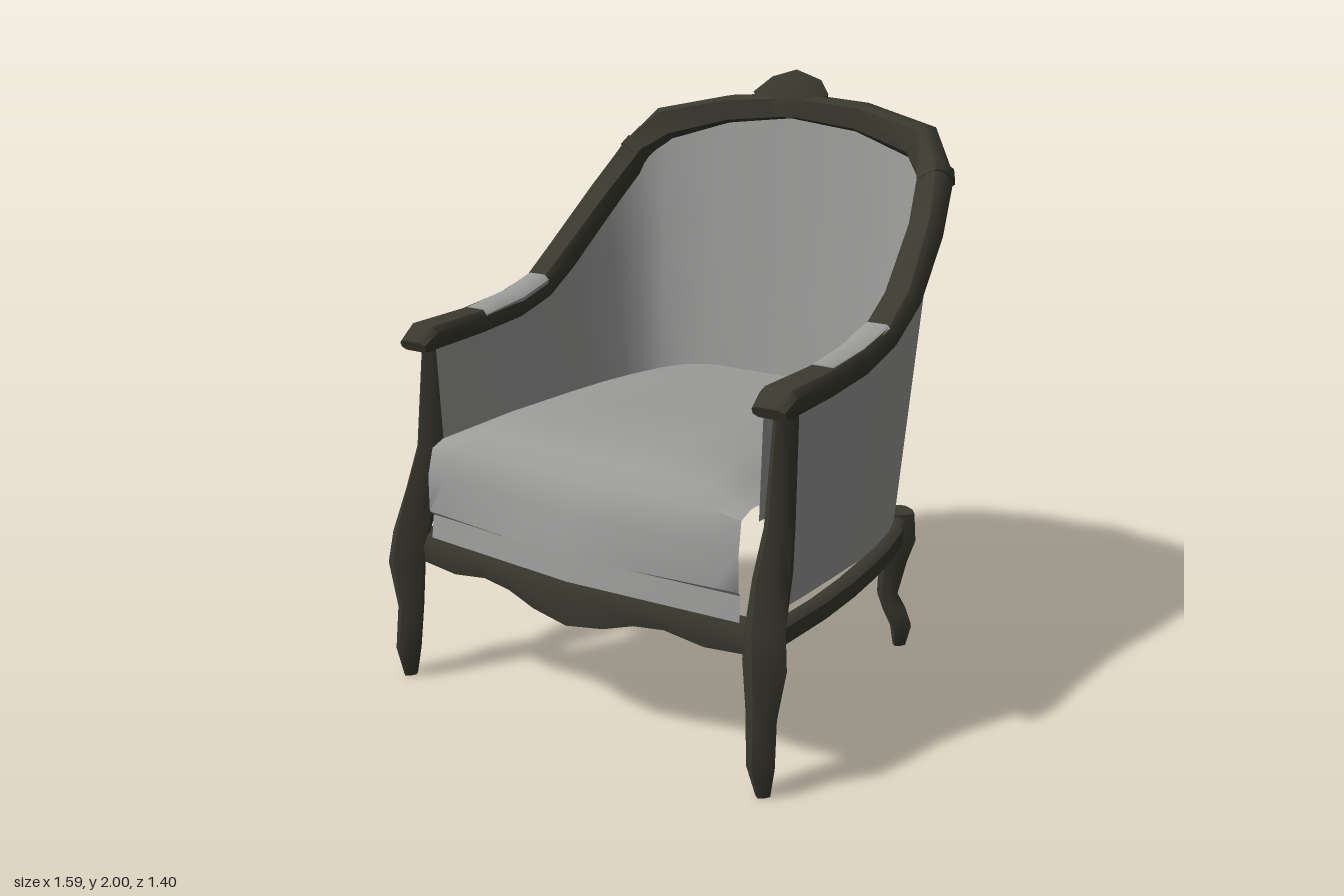
import * as THREE from 'three';
import { toCreasedNormals } from 'three/addons/utils/BufferGeometryUtils.js';

const V = (x, y, z) => new THREE.Vector3(x, y, z);
const flip = p => V(-p.x, p.y, p.z);

// Skin a list of rings; closed rings get end caps, and faces are turned outward.
function loft(rings, { closed = true, crease = 0.8 } = {}) {
  const n = rings[0].length, pts = rings.flat(), tris = [];
  for (let i = 0; i < rings.length - 1; i++) {
    for (let j = 0; j < (closed ? n : n - 1); j++) {
      const k = (j + 1) % n, a = i * n + j, b = i * n + k;
      tris.push([a, b, b + n], [a, b + n, a + n]);
    }
  }
  if (closed) {
    [0, rings.length - 1].forEach((r, end) => {
      const c = pts.length;
      pts.push(rings[r].reduce((s, p) => s.add(p), V(0, 0, 0)).divideScalar(n));
      for (let j = 0; j < n; j++) {
        const a = r * n + j, b = r * n + (j + 1) % n;
        tris.push(end ? [a, b, c] : [b, a, c]);
      }
    });
    let volume = 0;
    const t = V(0, 0, 0);
    for (const [a, b, c] of tris) volume += pts[a].dot(t.crossVectors(pts[b], pts[c]));
    if (volume < 0) tris.forEach(f => f.reverse());
  }
  const g = new THREE.BufferGeometry().setFromPoints(pts);
  g.setIndex(tris.flat());
  return toCreasedNormals(g, crease);
}

// Chamfered rectangular rings along a path; each station is {p, a, ha, hb}.
const SECTION = [[1, .5], [.7, 1], [-.7, 1], [-1, .5], [-1, -.5], [-.7, -1], [.7, -1], [1, -.5]];
function sweepRings(stations, endTangent) {
  return stations.map((s, i) => {
    const last = i === stations.length - 1;
    const tan = last && endTangent ? endTangent.clone()
      : V(0, 0, 0).subVectors(stations[last ? i : i + 1].p, stations[Math.max(0, i - 1)].p);
    const b = tan.cross(s.a).normalize();
    const a = s.a.clone().normalize();
    return SECTION.map(([u, v]) => s.p.clone().addScaledVector(a, u * s.ha).addScaledVector(b, v * s.hb));
  });
}
// Continue a half list across the middle.
const mirrored = rings => [...rings, ...rings.slice(0, -1).reverse().map(r => r.map(flip))];

export function createModel() {
  const group = new THREE.Group();
  const wood = new THREE.MeshStandardMaterial({ color: 0x3a392f });
  wood.name = 'dark wood';
  const fabric = new THREE.MeshStandardMaterial({ color: 0x9b9b9a, side: THREE.DoubleSide });
  fabric.name = 'grey upholstery';
  const add = (name, geometry, material) => {
    const m = new THREE.Mesh(geometry, material);
    m.name = name;
    group.add(m);
  };

  // Arm and back rail: x, y, z, outward x, outward y, half width, half thickness
  const rail = [
    [.69, 1.15, .588, 1, 0, .055, .018],
    [.69, 1.172, .535, 1, 0, .063, .042],
    [.69, 1.183, .3, 1, 0, .058, .04],
    [.69, 1.207, .1, 1, 0, .055, .042],
    [.69, 1.25, -.05, 1, 0, .055, .04],
    [.69, 1.345, -.19, 1, .05, .055, .045],
    [.66, 1.53, -.39, 1, .25, .053, .048],
    [.615, 1.685, -.535, .9, .45, .052, .05],
    [.525, 1.785, -.605, .5, .85, .062, .048],
    [.27, 1.848, -.653, .15, 1, .05, .046],
    [0, 1.872, -.657, 0, 1, .045, .046],
  ].map(([x, y, z, ax, ay, ha, hb]) => ({ p: V(x, y, z), a: V(ax, ay, 0), ha, hb }));
  add('armAndBackRail', loft(mirrored(sweepRings(rail, V(-1, 0, 0)))), wood);

  // Carved crest on the top rail: z, scale, drop
  const crest = [[-.18, 1.915], [-.1, 1.972], [0, 2], [.1, 1.968], [.13, 1.92], [0, 1.87]];
  add('crest', loft([[-.7, .75, -.04], [-.655, 1, 0], [-.61, .6, -.05]].map(([z, s, dy]) =>
    crest.map(([x, y]) => V(x * s, 1.9 + (y - 1.9) * s + dy, z)))), wood);

  // Plan of the shell, one point under each rail station after the first
  const outerPlan = [[.65, .5], [.65, .3], [.645, .1], [.64, -.05], [.625, -.18], [.59, -.34],
    [.55, -.45], [.48, -.55], [.27, -.625], [0, -.65]];
  const innerPlan = [[.625, .53], [.615, .3], [.61, .1], [.6, -.08], [.578, -.22], [.537, -.37],
    [.505, -.42], [.465, -.475], [.34, -.525], [0, -.53]];
  const shell = (plan, y, dx, dy, dz) => loft(mirrored(plan.map(([x, z], i) => {
    const t = i / (plan.length - 1), { p } = rail[i + 1];
    const top = V(p.x + dx * (1 - t), p.y + dy, p.z + dz * t), bottom = V(x, y, z);
    return [0, .33, .66, 1].map(k => bottom.clone().lerp(top, k));
  })), { closed: false, crease: 1.2 });
  add('outerShell', shell(outerPlan, .5, .015, .01, -.03), fabric);
  add('innerShell', shell(innerPlan, .8, -.05, -.02, .03), fabric);

  // Curved seat rail around the sides and back, standing clear of the shell at the front
  const railPlan = [[.695, .61], [.695, .3], [.68, .1], [.66, -.05], [.635, -.2], [.59, -.38],
    [.53, -.51], [.45, -.58], [.27, -.635], [0, -.65]];
  const baseRail = railPlan.map(([x, z]) => ({ p: V(x, .465, z), a: V(0, 1, 0), ha: .037, hb: .028 }));
  add('seatRail', loft(mirrored(sweepRings(baseRail, V(-1, 0, 0)))), wood);

  // Bowed front apron with a wavy lower edge
  const apron = [[.66, .42], [.5, .41], [.36, .432], [.25, .42], [.14, .385], [0, .365]];
  add('frontApron', loft(mirrored(apron.map(([x, y]) => {
    const z = .675 - .07 * x;
    return [V(x, y, z - .05), V(x, y, z - .01), V(x, .47, z), V(x, .51, z - .015), V(x, .51, z - .07)];
  }))), wood);

  // Seat cushion as a sheet running up the front and back over the crowned top:
  // half width, y middle, y edge, z middle, z edge
  const across = [-1, -.87, -.74, -.35, 0, .35, .74, .87, 1];
  const rows = [
    [.615, .5, .5, .66, .615], [.612, .59, .59, .645, .605], [.615, .605, .605, .687, .62],
    [.615, .73, .73, .66, .62], [.61, .84, .82, .62, .6], [.61, .885, .84, .55, .55],
    [.61, .92, .845, .4, .4], [.61, .92, .845, .1, .1], [.6, .92, .84, -.1, -.1],
    [.578, .92, .84, -.23, -.23], [.535, .92, .84, -.38, -.38], [.47, .92, .84, -.48, -.48],
    [.35, .92, .9, -.535, -.53],
  ];
  add('seatCushion', loft(rows.map(([w, ym, ye, zm, ze]) => across.map(u => {
    const d = Math.abs(u), drop = Math.max(0, (d - .74) / .26);
    return V(u * w, ym + (ye - ym) * drop, zm + (ze - zm) * d);
  })), { closed: false }), fabric);

  // Legs with a soft diamond section: y, x range, z range at each level
  const legRings = levels => levels.map(([y, x0, x1, z0, z1]) => Array.from({ length: 8 }, (_, i) => {
    const t = i / 8 * Math.PI * 2, r = i % 2 ? .87 : 1;
    return V((x0 + x1) / 2 + r * Math.cos(t) * (x1 - x0) / 2, y,
      (z0 + z1) / 2 + r * Math.sin(t) * (z1 - z0) / 2);
  }));
  const frontLeg = legRings([
    [0, .695, .745, .61, .667], [.1, .665, .765, .6, .695], [.25, .653, .762, .59, .68],
    [.41, .64, .793, .57, .7], [.52, .637, .775, .54, .69], [.66, .637, .748, .465, .65],
    [.8, .643, .737, .455, .585], [1.14, .653, .727, .44, .545],
  ]);
  const backLeg = legRings([
    [0, .51, .56, -.58, -.52], [.08, .5, .585, -.585, -.495], [.14, .47, .57, -.575, -.485],
    [.2, .46, .54, -.555, -.47], [.33, .46, .57, -.58, -.46], [.41, .45, .595, -.6, -.46], [.51, .45, .59, -.585, -.465],
  ]);

  // Grey arm pads let into the rail: z, underside, top
  const pad = [[.29, 1.19, 1.227], [.2, 1.2, 1.24], [.1, 1.21, 1.254], [-.035, 1.25, 1.294]]
    .map(([z, y0, y1]) => [V(.638, y0, z), V(.632, y1 - .016, z), V(.652, y1, z),
      V(.72, y1, z), V(.732, y1 - .01, z), V(.73, y0, z)]);

  // Small collar where the arm meets the top rail
  const along = V(0, 0, 0).subVectors(rail[8].p, rail[6].p).normalize();
  const collar = sweepRings([-.02, .02].map(d =>
    ({ p: rail[7].p.clone().addScaledVector(along, d), a: rail[7].a, ha: .055, hb: .054 })));

  for (const [side, left] of [['left', true], ['right', false]]) {
    const put = (name, rings, material) =>
      add(side + name, loft(left ? rings : rings.map(r => r.map(flip))), material);
    put('FrontLeg', frontLeg, wood);
    put('BackLeg', backLeg, wood);
    put('ArmPad', pad, fabric);
    put('RailCollar', collar, wood);
  }
  return group;
}
